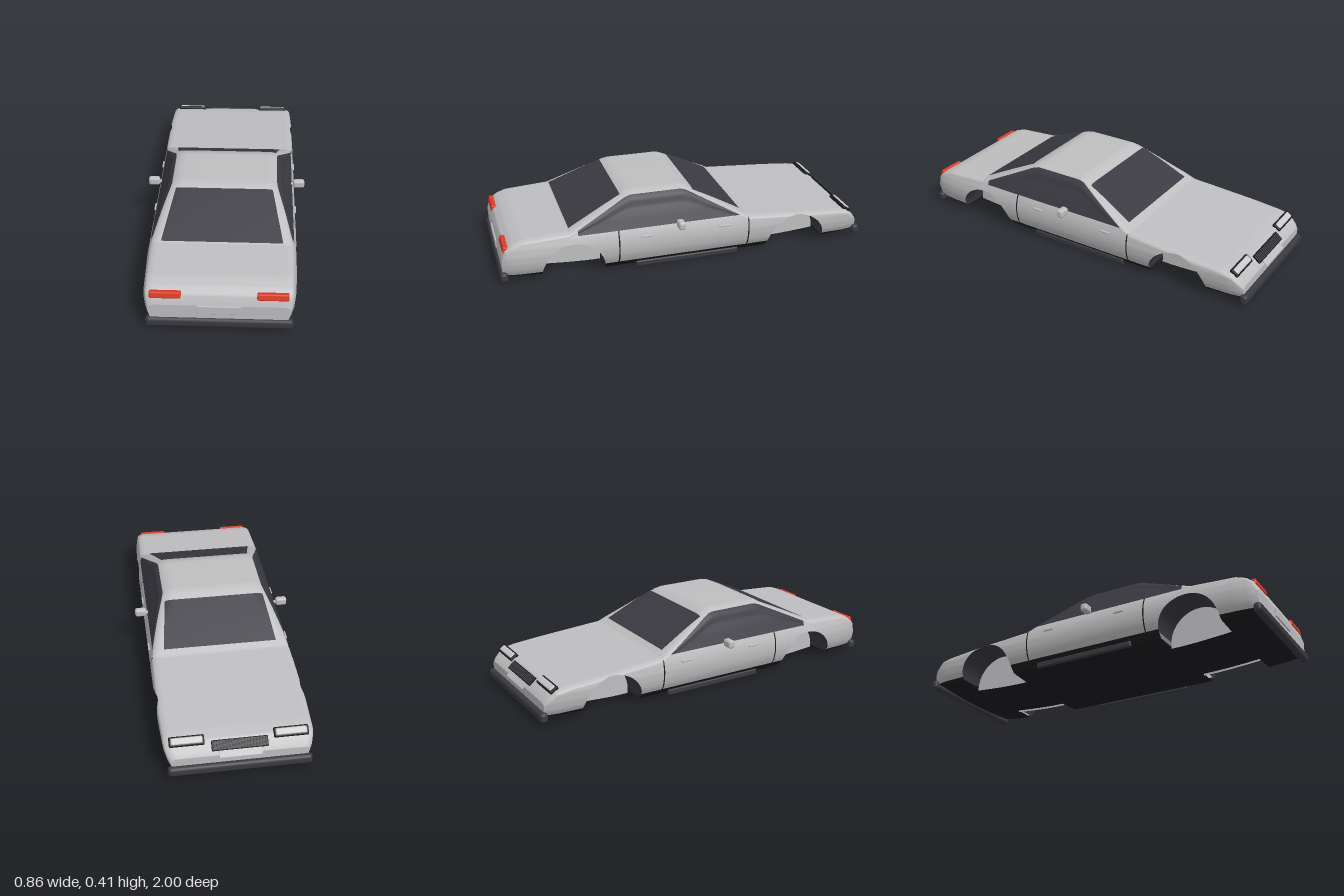
import * as THREE from 'three';
import { RoundedBoxGeometry } from 'three/addons/geometries/RoundedBoxGeometry.js';

const lerp = THREE.MathUtils.lerp;

// piecewise-linear lookup in a list of [position, value]
function look(table, p) {
  if (p <= table[0][0]) return table[0][1];
  for (let i = 1; i < table.length; i++) {
    const [a, va] = table[i - 1], [b, vb] = table[i];
    if (p <= b) return lerp(va, vb, (p - a) / (b - a));
  }
  return table[table.length - 1][1];
}

// centre-line height along z, side half-width by height, plan taper along z
const HEIGHT = [[-0.975, 0.12], [-0.96, 0.14], [-0.915, 0.178], [-0.85, 0.19], [-0.33, 0.228], [0, 0.403],
  [0.03, 0.41], [0.3, 0.41], [0.33, 0.402], [0.64, 0.258], [0.88, 0.243], [0.93, 0.225], [0.97, 0.195], [0.985, 0.15]];
const WIDTH = [[0.015, 0.315], [0.05, 0.347], [0.08, 0.365], [0.12, 0.375], [0.16, 0.378], [0.2, 0.372],
  [0.23, 0.362], [0.25, 0.352], [0.3, 0.328], [0.35, 0.3]];
const TAPER = [[-0.975, 0.92], [-0.95, 0.95], [-0.9, 0.975], [-0.7, 1], [0.65, 1], [0.88, 0.975], [0.95, 0.95], [0.985, 0.91]];
const ARCHES = [0.62, -0.61], ARCH_R = 0.165, ARCH_Y = 0.035, WELL_X = 0.2, BAND_Y = 0.055;

const top = z => look(HEIGHT, z);
const taper = z => look(TAPER, z);
const floorY = z => 0.003 + 0.038 * Math.pow(Math.max(0, (Math.abs(z) - 0.5) / 0.48), 1.5);

// rounded shoulder of the section at z: a = flat half-width, e = full half-width, d = drop
function shoulder(z) {
  const t = top(z), g = THREE.MathUtils.clamp((t - 0.24) / 0.17, 0, 1);
  const d = 0.02 + 0.04 * g, e = look(WIDTH, t - d);
  return { t, d, e, a: e - 0.04 - 0.05 * g };
}
function sideX(z, y) {
  const { t, d, e, a } = shoulder(z);
  const k = Math.min(1, (y - t + d) / d);
  return taper(z) * (k <= 0 ? look(WIDTH, y) : a + (e - a) * Math.sqrt(1 - k * k));
}
function topY(z, x) {
  const { t, d, e, a } = shoulder(z);
  const k = THREE.MathUtils.clamp((Math.abs(x) / taper(z) - a) / (e - a), 0, 1);
  return t - d + d * Math.sqrt(1 - k * k);
}
function archTop(z) {
  for (const c of ARCHES) {
    const q = ARCH_R * ARCH_R - (z - c) ** 2;
    if (q > 0) return Math.min(ARCH_Y + Math.sqrt(q), top(z) - 0.006);
  }
  return 0;
}

// surface grid from fn(u, v) -> [x, y, z], u and v in 0..1
function grid(nu, nv, fn) {
  const pos = [], index = [];
  for (let i = 0; i <= nu; i++) for (let j = 0; j <= nv; j++) pos.push(...fn(i / nu, j / nv));
  for (let i = 0; i < nu; i++) for (let j = 0; j < nv; j++) {
    const a = i * (nv + 1) + j, b = a + nv + 1;
    index.push(a, b, a + 1, b, b + 1, a + 1);
  }
  const g = new THREE.BufferGeometry();
  g.setAttribute('position', new THREE.Float32BufferAttribute(pos, 3));
  g.setIndex(index);
  g.computeVertexNormals();
  return g;
}

// z stations: even spacing, profile corners, and close steps around the arches
function makeStations() {
  const zs = HEIGHT.map(p => p[0]);
  for (let z = -0.96; z < 0.98; z += 0.02) if (ARCHES.every(c => Math.abs(z - c) > ARCH_R + 0.004)) zs.push(z);
  for (const c of ARCHES) {
    zs.push(c - ARCH_R * 1.004, c + ARCH_R * 1.004);
    for (let i = 0; i <= 28; i++) zs.push(c + ARCH_R * 0.9995 * Math.cos(i / 28 * Math.PI));
  }
  return zs.sort((a, b) => a - b).filter((z, i, s) => i === 0 || z - s[i - 1] > 1e-5);
}

export function createModel() {
  const car = new THREE.Group();
  car.name = 'car';
  const mat = (name, color) => new THREE.MeshStandardMaterial({ name, color, side: THREE.DoubleSide });
  const paint = mat('silver paint', 0xbebec0), glass = mat('dark glass', 0x3c3a42), trim = mat('dark trim', 0x3a3940);
  const black = mat('black underside', 0x1c1c1f), red = mat('red lamp', 0xe03a28), lens = mat('clear lens', 0xc9c9cb);
  const add = (name, geo, material) => {
    const m = new THREE.Mesh(geo, material);
    m.name = name;
    car.add(m);
    return m;
  };
  const box = (name, w, h, d, r, material, x, y, z, tilt = 0) => {
    const m = add(name, new RoundedBoxGeometry(w, h, d, 3, r), material);
    m.position.set(x, y, z);
    m.rotation.x = tilt;
    return m;
  };
  const zs = makeStations(), n = zs.length - 1;
  const at = u => zs[Math.round(u * n)];

  // painted shell, lofted over the full section from sill to sill
  const ROWS = 22;
  add('bodyShell', grid(n, 2 * ROWS + 2, (u, v) => {
    const z = at(u), k = Math.round(v * (2 * ROWS + 2)), s = k <= ROWS ? -1 : 1;
    if (k === ROWS + 1) return [0, top(z), z];
    const f = (k <= ROWS ? k : 2 * ROWS + 2 - k) / ROWS;
    const low = Math.max(BAND_Y, archTop(z)), y = top(z) - (top(z) - low) * (1 - f) ** 2;
    return [s * sideX(z, y), y, z];
  }), paint);
  for (const [name, z] of [['tailPanel', 0.985], ['nosePanel', -0.975]])
    add(name, grid(14, 2, (u, v) => {
      const y = lerp(floorY(z) + 0.015, top(z), 1 - (1 - u) ** 2);
      return [(v * 2 - 1) * sideX(z, y), y, z];
    }), paint);

  // underside
  add('underside', grid(n, 10, (u, v) => {
    const z = at(u), y = floorY(z) + 0.015, k = v * 2 - 1;
    return [k * (archTop(z) > 0 ? WELL_X : sideX(z, y)), floorY(z) + 0.015 * k * k, z];
  }), black);

  for (const s of [1, -1]) {
    const side = s > 0 ? 'left' : 'right';

    // dark lower band
    add(side + 'LowerBand', grid(n, 3, (u, v) => {
      const z = at(u), lo = Math.max(floorY(z) + 0.015, archTop(z)), y = lerp(lo, Math.max(lo, BAND_Y), v);
      return [s * sideX(z, y), y, z];
    }), black);

    // wheel wells: curved liner and inner wall
    for (const c of ARCHES) {
      const where = side + (c > 0 ? 'Rear' : 'Front');
      const rim = u => {
        const z = c + ARCH_R * 0.999 * Math.cos(u * Math.PI);
        return [Math.max(ARCH_Y, archTop(z)), z];
      };
      add(where + 'WellLiner', grid(28, 2, (u, v) => {
        const [y, z] = rim(u);
        return [s * lerp(WELL_X, sideX(z, y), v), y, z];
      }), trim);
      add(where + 'WellWall', grid(28, 2, (u, v) => {
        const [y, z] = rim(u);
        return [s * WELL_X, lerp(floorY(z) + 0.004, y, v), z];
      }), paint);
    }

    // side glass follows the shell
    add(side + 'SideWindow', grid(50, 10, (u, v) => {
      const z = lerp(-0.275, 0.595, u), y = lerp(0.24, Math.max(0.241, top(z) - 0.015), v);
      return [s * (sideX(z, y) + 0.004), y, z];
    }), glass);

    // door seams
    for (const [z0, y1] of [[0.385, 0.25], [-0.325, 0.222]])
      add(side + 'DoorSeam', grid(1, 16, (u, v) => {
        const z = z0 + (u - 0.5) * 0.007, y = lerp(BAND_Y, y1, v);
        return [s * (sideX(z, y) + 0.002), y, z];
      }), black);

    // door handles, mirror, sill skirt, lamps
    for (const z of [0.24, -0.19]) box(side + 'DoorHandle', 0.012, 0.011, 0.06, 0.004, paint, s * 0.374, 0.196, z);
    box(side + 'Mirror', 0.062, 0.044, 0.038, 0.013, paint, s * 0.398, 0.248, 0.06);
    box(side + 'MirrorArm', 0.04, 0.012, 0.018, 0.004, paint, s * 0.36, 0.244, 0.06);
    box(side + 'Skirt', 0.02, 0.032, 0.57, 0.008, trim, s * 0.331, 0.02, 0.005);
    box(side + 'TailLamp', 0.152, 0.035, 0.04, 0.008, red, s * 0.256, 0.195, 0.957, -0.25);
    box(side + 'HeadlampFrame', 0.172, 0.02, 0.05, 0.007, black, s * 0.255, 0.178, -0.917, -0.6);
    box(side + 'HeadlampLens', 0.154, 0.02, 0.034, 0.007, lens, s * 0.255, 0.183, -0.92, -0.6);
  }

  // windscreens: thin panes over the sloping shell
  for (const [name, z0, z1, x0, x1] of [['frontWindscreen', -0.295, -0.04, 0.3, 0.27], ['rearWindscreen', 0.35, 0.635, 0.25, 0.305]])
    add(name, grid(24, 24, (u, v) => {
      const z = lerp(z0, z1, u), x = (v * 2 - 1) * lerp(x0, x1, u);
      return [x, topY(z, x) + 0.004, z];
    }), glass);

  // bumpers, plates and grille
  box('rearBumper', 0.71, 0.052, 0.042, 0.018, trim, 0, 0.049, 0.979);
  box('frontBumper', 0.71, 0.052, 0.042, 0.018, trim, 0, 0.049, -0.979);
  box('rearPlate', 0.208, 0.047, 0.012, 0.003, paint, 0, 0.127, 0.986);
  box('frontPlate', 0.208, 0.006, 0.055, 0.002, paint, 0, 0.135, -0.971, -0.78);
  box('grille', 0.276, 0.018, 0.052, 0.005, black, 0, 0.157, -0.945, -0.72);
  for (let i = 0; i < 18; i++) box('grilleRib', 0.006, 0.006, 0.044, 0.002, trim, (i - 8.5) * 0.0148, 0.164, -0.951, -0.72);
  return car;
}
